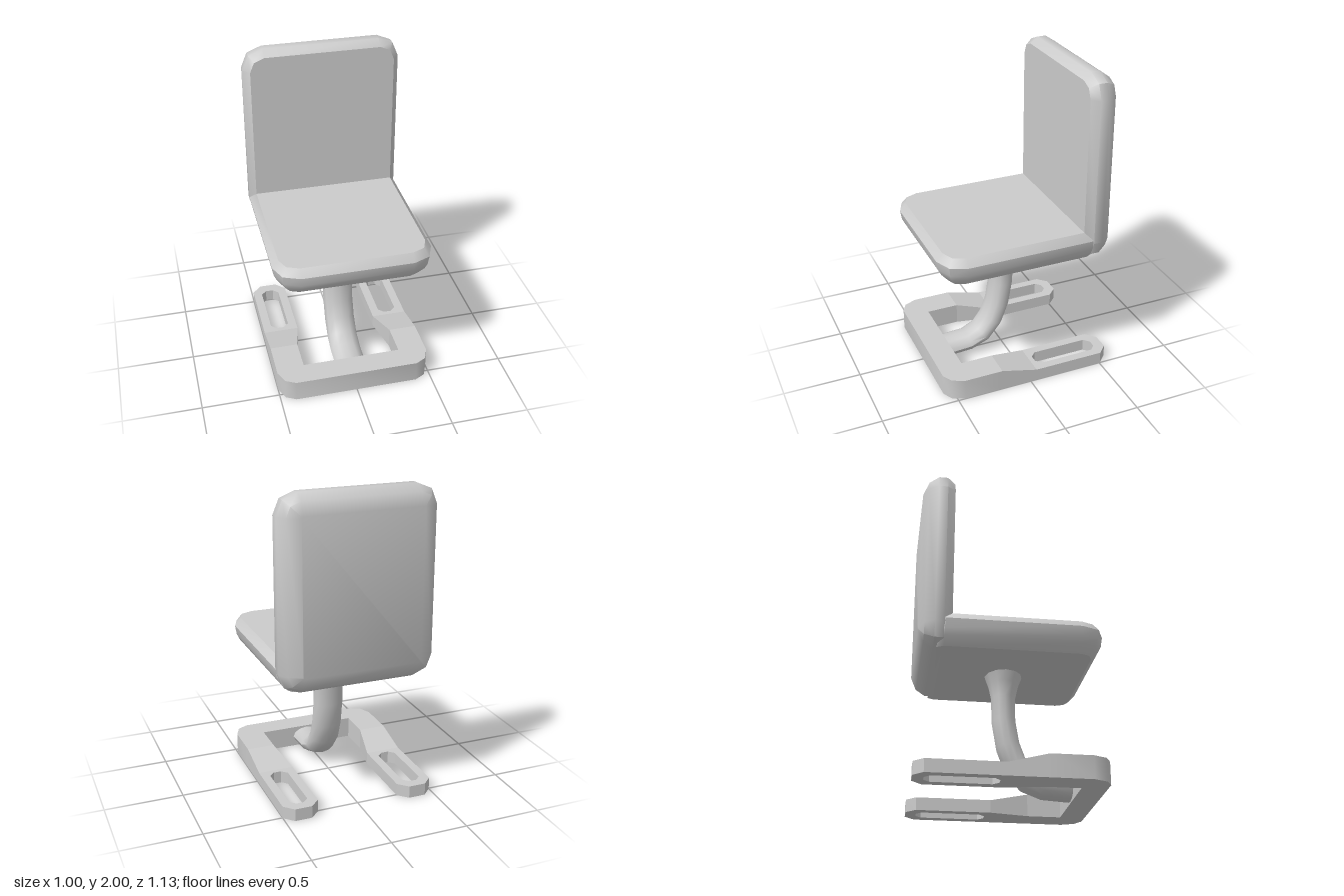
import * as THREE from 'three';
import { toCreasedNormals } from 'three/addons/utils/BufferGeometryUtils.js';

const CREASE = 0.75;

// Skin a list of equal-length rings (arrays of Vector3) and close both ends.
function loft(rings) {
  const n = rings[0].length, last = (rings.length - 1) * n, index = [];
  for (let r = 0; r < rings.length - 1; r++) {
    for (let i = 0; i < n; i++) {
      const a = r * n + i, b = r * n + (i + 1) % n;
      index.push(a, b, b + n, a, b + n, a + n);
    }
  }
  for (let i = 1; i < n - 1; i++) {
    index.push(0, i + 1, i, last, last + i, last + i + 1);
  }
  const geo = new THREE.BufferGeometry().setFromPoints(rings.flat());
  geo.setIndex(index);
  return geo;
}

// Cushion: rounded rectangle whose corner radius shrinks by the inset of each [level, inset].
function cushion(cx, yMin, yMax, radius, levels, yLimit = Infinity) {
  const corners = [[cx, yMax], [-cx, yMax], [-cx, yMin], [cx, yMin]];
  return loft(levels.map(([level, inset]) => {
    const ring = [];
    corners.forEach(([x, y], q) => {
      for (let k = 0; k < 3; k++) {
        const a = (q + k / 2) * Math.PI / 2, r = radius - inset;
        ring.push(new THREE.Vector3(x + r * Math.cos(a), Math.min(y + r * Math.sin(a), yLimit), level));
      }
    });
    return ring;
  }));
}

// Plate from plan points [x, z], standing on the ground.
function plate(points, height, hole) {
  const toPlan = (list) => list.map(([x, z]) => new THREE.Vector2(x, -z));
  const shape = new THREE.Shape(toPlan(points));
  if (hole) shape.holes.push(new THREE.Path(toPlan(hole)));
  return new THREE.ExtrudeGeometry(shape, { depth: height, bevelEnabled: false }).rotateX(-Math.PI / 2);
}

// Rectangle in plan with chamfered corners
function chamfered(x0, x1, z0, z1, c) {
  return [[x0 + c, z0], [x1 - c, z0], [x1, z0 + c], [x1, z1 - c],
    [x1 - c, z1], [x0 + c, z1], [x0, z1 - c], [x0, z0 + c]];
}

export function createModel() {
  const group = new THREE.Group();
  const material = new THREE.MeshStandardMaterial({ color: 0xcccccc });
  const add = (name, geo) => {
    const mesh = new THREE.Mesh(toCreasedNormals(geo, CREASE), material);
    mesh.name = name;
    group.add(mesh);
  };

  // Seat, its square rear end buried in the backrest
  add('seat', cushion(0.35, -0.415, 0.41, 0.15,
    [[0.8, 0.075], [0.85, 0.03], [0.89, 0.01], [0.95, 0], [1, 0.04]], 0.45).rotateX(-Math.PI / 2));

  // Backrest, reaching down to the underside of the seat
  add('backrest', cushion(0.37, 0.93, 1.87, 0.13,
    [[-0.565, 0.12], [-0.53, 0.04], [-0.47, 0], [-0.415, 0], [-0.365, 0.04]]));

  // Curved post: [z, y, half width, half thickness] from the seat down into the base
  const post = [
    [0, 0.82, 0.145, 0.125], [0, 0.74, 0.118, 0.095], [0, 0.65, 0.1, 0.075],
    [0.003, 0.5, 0.1, 0.075], [0.03, 0.34, 0.1, 0.075], [0.075, 0.22, 0.1, 0.075],
    [0.15, 0.125, 0.1, 0.07], [0.25, 0.08, 0.1, 0.06], [0.42, 0.07, 0.1, 0.06],
  ];
  add('post', loft(post.map(([z, y, rx, rz], i) => {
    const p = post[Math.max(i - 1, 0)], q = post[Math.min(i + 1, post.length - 1)];
    const t = new THREE.Vector2(q[0] - p[0], q[1] - p[1]).normalize();
    return Array.from({ length: 12 }, (_, k) => {
      const a = k / 12 * Math.PI * 2, s = rz * Math.sin(a);
      return new THREE.Vector3(rx * Math.cos(a), y + t.x * s, z - t.y * s);
    });
  })));

  // Front of the base: a thick U-shaped bar with rounded corners
  const half = [[0.32, 0.2], [0.5, 0.2], [0.5, 0.45], [0.465, 0.53], [0.4, 0.565]];
  const mirrored = half.map(([x, z]) => [-x, z]).reverse();
  add('baseFront', plate([[0.32, 0.41], ...half, ...mirrored, [-0.32, 0.41]], 0.14));

  for (const s of [1, -1]) {
    const side = (points) => points.map(([x, z]) => [x * s, z]);
    const label = s > 0 ? 'left' : 'right';

    // Ramp dropping from the thick bar to the thin foot
    const ramp = plate(side([[0.32, 0.2], [0.5, 0.2], [0.5, -0.04], [0.27, -0.04]]), 0.14);
    const pos = ramp.attributes.position;
    for (let i = 0; i < pos.count; i++) {
      if (pos.getZ(i) < 0 && pos.getY(i) > 0.1) pos.setY(i, 0.08);
    }
    add(label + 'Ramp', ramp);

    // Thin foot with a long slot
    const foot = [[0.27, -0.04], [0.5, -0.04], [0.5, -0.505], [0.44, -0.565], [0.33, -0.565], [0.27, -0.505]];
    add(label + 'Foot', plate(side(foot), 0.08, side(chamfered(0.325, 0.445, -0.5, -0.07, 0.035))));
  }
  return group;
}
